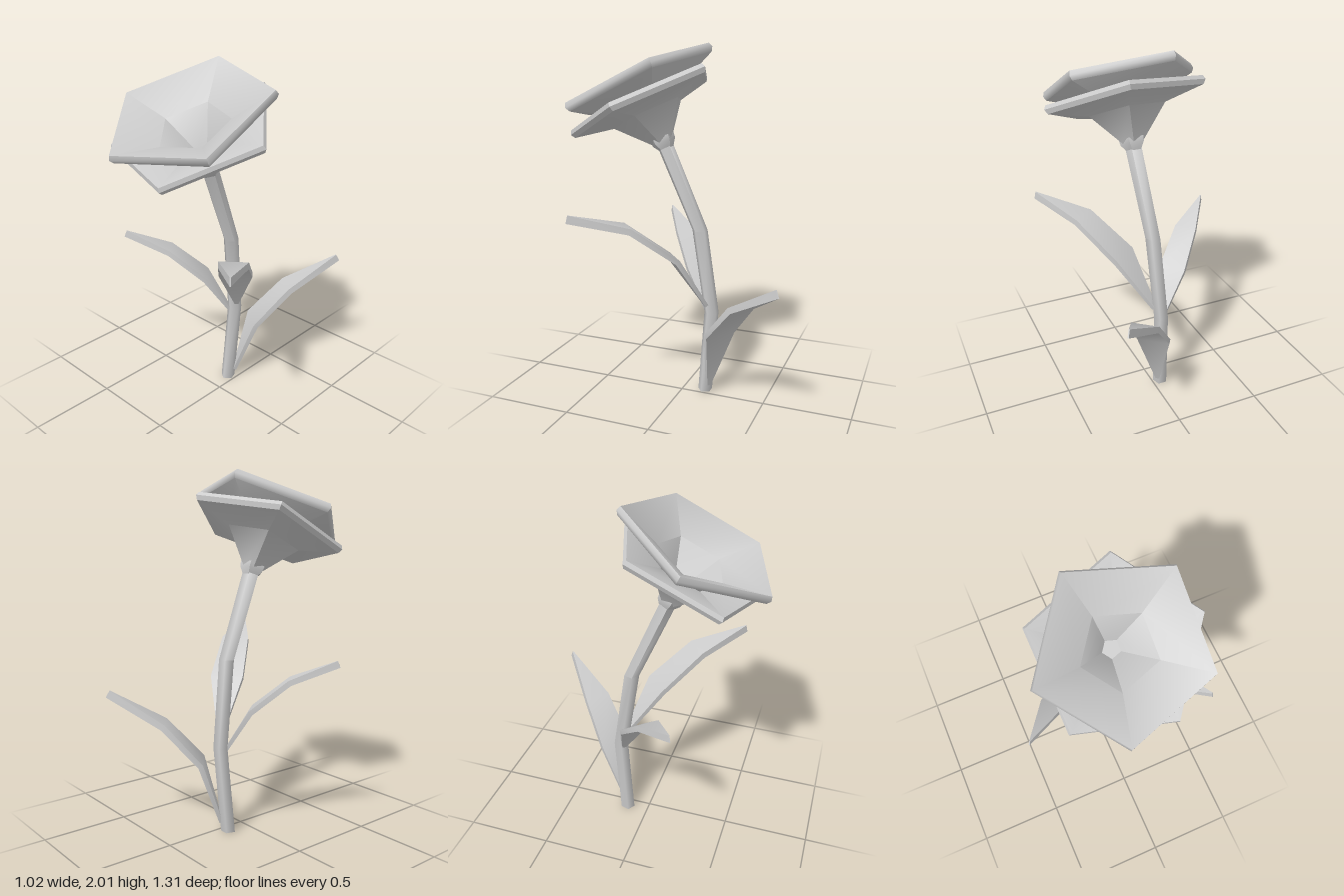
import * as THREE from 'three';
import { toCreasedNormals } from 'three/addons/utils/BufferGeometryUtils.js';

// Skin a list of equal-sized rings of Vector3 into a closed, capped solid.
function loft(rings, crease = 0.8) {
  const n = rings[0].length;
  const points = rings.flat();
  const index = [];
  for (let i = 0; i < rings.length - 1; i++) {
    for (let j = 0; j < n; j++) {
      const k = (j + 1) % n;
      const a = i * n + j, b = i * n + k, c = a + n, d = b + n;
      index.push(a, c, b, b, c, d);
    }
  }
  const last = (rings.length - 1) * n;
  for (let j = 1; j < n - 1; j++) {
    index.push(0, j, j + 1);
    index.push(last, last + j + 1, last + j);
  }
  const geometry = new THREE.BufferGeometry().setFromPoints(points);
  geometry.setIndex(index);
  return toCreasedNormals(geometry, crease);
}

// Five-sided ring around the vertical axis.
function pentagon(radius, y, turn = 0, x = 0, z = 0) {
  return Array.from({ length: 5 }, (_, i) => {
    const a = turn + (i * Math.PI * 2) / 5;
    return new THREE.Vector3(x + radius * Math.cos(a), y, z + radius * Math.sin(a));
  });
}

// Slab leaf: stations are [distance out, rise, half width, thickness].
function leafGeometry(base, tip, stations) {
  const out = new THREE.Vector3(tip[0] - base[0], 0, tip[1] - base[2]).normalize();
  const side = new THREE.Vector3(-out.z, 0, out.x);
  const start = new THREE.Vector3(...base);
  const rings = stations.map(([d, h, w, t], i) => {
    const p = stations[Math.max(i - 1, 0)];
    const q = stations[Math.min(i + 1, stations.length - 1)];
    const slope = Math.atan2(q[1] - p[1], q[0] - p[0]);
    const normal = out.clone().multiplyScalar(-Math.sin(slope));
    normal.y = Math.cos(slope);
    const mid = start.clone().addScaledVector(out, d);
    mid.y += h;
    return [[1, -1], [1, 1], [-1, 1], [-1, -1]].map(([s, v]) =>
      mid.clone().addScaledVector(side, s * w).addScaledVector(normal, (v * t) / 2));
  });
  return loft(rings);
}

export function createModel() {
  const model = new THREE.Group();
  model.name = 'flower';
  const grey = new THREE.MeshStandardMaterial({ color: 0xcccccc });
  grey.name = 'light grey';

  const add = (parent, name, geometry) => {
    const mesh = new THREE.Mesh(geometry, grey);
    mesh.name = name;
    parent.add(mesh);
  };

  // Bent five-sided stem: x, y, z, radius
  const stemPath = [
    [-0.05, 0, -0.13, 0.043],
    [-0.035, 0.5, -0.17, 0.043],
    [-0.01, 0.99, -0.105, 0.045],
    [0.02, 1.49, 0.105, 0.05],
  ];
  add(model, 'stem', loft(stemPath.map(([x, y, z, r]) => pentagon(r, y, 0.3, x, z)), 1.3));

  // Leaves
  add(model, 'leftLeaf', leafGeometry([0, 0.55, -0.15], [0.5, 0.45], [
    [0, 0, 0.012, 0.02], [0.2, 0.3, 0.095, 0.03], [0.46, 0.49, 0.08, 0.035], [0.78, 0.565, 0.003, 0.045],
  ]));
  add(model, 'rightLeaf', leafGeometry([-0.05, 0.48, -0.15], [-0.51, 0.27], [
    [0, 0, 0.012, 0.02], [0.15, 0.24, 0.078, 0.028], [0.36, 0.41, 0.065, 0.03], [0.62, 0.51, 0.003, 0.04],
  ]));
  add(model, 'backLeaf', leafGeometry([-0.02, 0.05, -0.16], [0.37, -0.65], [
    [0, 0, 0.012, 0.02], [0.11, 0.36, 0.095, 0.03], [0.317, 0.58, 0.078, 0.035], [0.626, 0.755, 0.003, 0.045],
  ]));

  // Tilted flower head: two pentagonal petal cups, turned against each other
  const head = new THREE.Group();
  head.name = 'flowerHead';
  head.position.set(0.02, 1.48, 0.1);
  head.quaternion.setFromUnitVectors(
    new THREE.Vector3(0, 1, 0), new THREE.Vector3(0.03, 1, 0.48).normalize());
  model.add(head);

  // Profiles run up the outside, over the rim and down the inside: radius, height
  const cups = [
    ['outerPetals', 70, [[0.02, -0.04], [0.06, 0.005], [0.22, 0.18], [0.44, 0.225],
      [0.455, 0.25], [0.445, 0.272], [0.2, 0.22], [0.05, 0.05]]],
    ['innerPetals', 35, [[0.04, 0.05], [0.22, 0.245], [0.44, 0.335],
      [0.455, 0.36], [0.445, 0.385], [0.2, 0.275], [0.05, 0.1]]],
  ];
  for (const [name, degrees, profile] of cups) {
    const turn = THREE.MathUtils.degToRad(degrees);
    add(head, name, loft(profile.map(([r, y]) => pentagon(r, y, turn))));
  }

  // Small calyx where the cup meets the stem
  add(head, 'calyx', loft([
    pentagon(0.035, -0.05, 0.3), pentagon(0.07, 0.0, 0.3), pentagon(0.075, 0.03, 0.3)]));

  return model;
}
